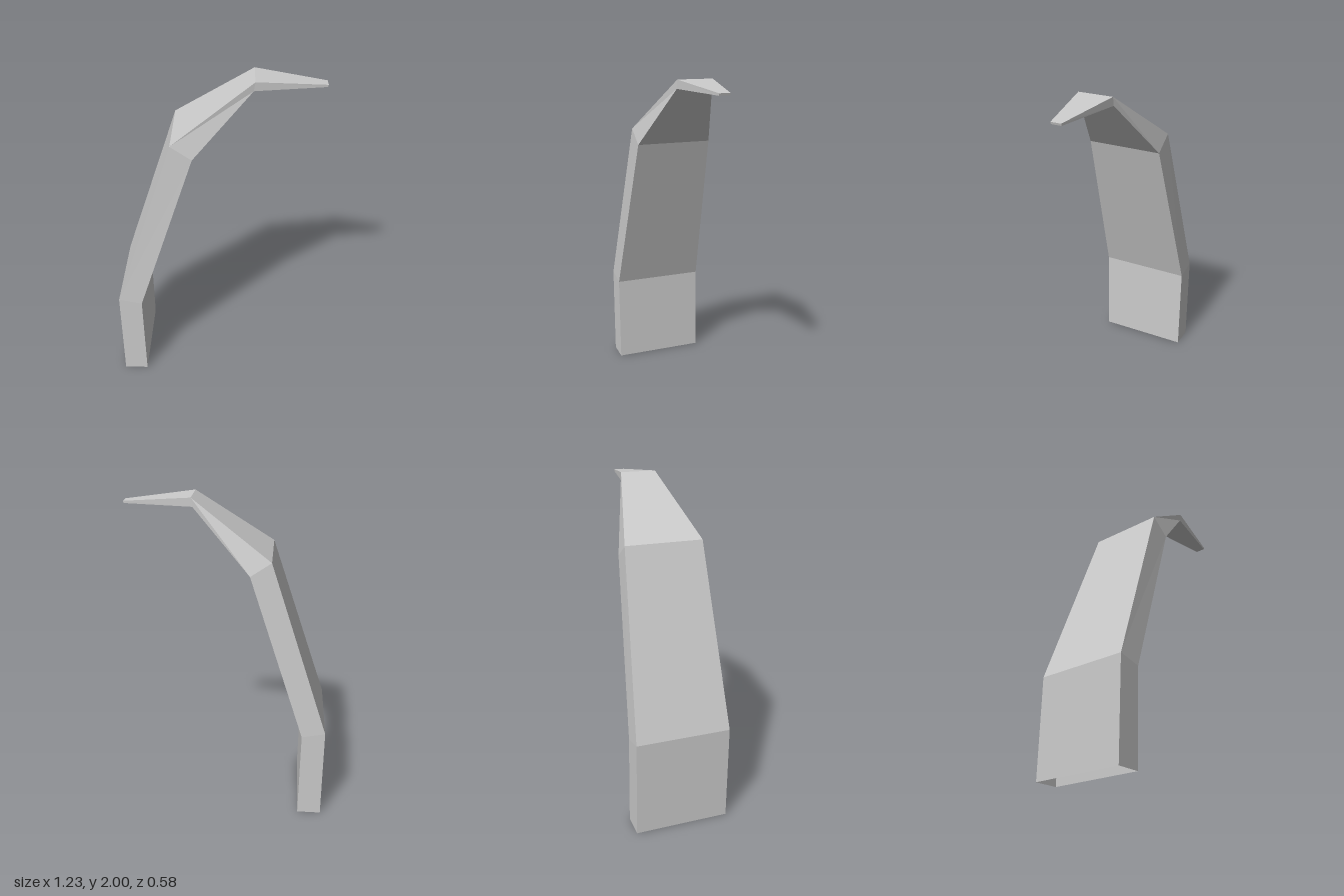
import * as THREE from 'three';

// Cross-sections from base to tip: outer [x, y], inner [x, y], half width
const SECTIONS = [
  { outer: [-0.617, 0], inner: [-0.47, 0], half: 0.29 },
  { outer: [-0.617, 0.6], inner: [-0.474, 0.57], half: 0.29 },
  { outer: [-0.26, 1.67], inner: [-0.137, 1.585], half: 0.235 },
  { outer: [0.21, 2.0], inner: [0.202, 1.948], half: 0.108 },
  { outer: [0.617, 1.957], inner: [0.613, 1.944], half: 0.032 },
];

// Four corners of a section, in order around the blade
function ring({ outer, inner, half }) {
  return [
    [...outer, half], [...inner, half],
    [...inner, -half], [...outer, -half],
  ];
}

function createClawGeometry() {
  const positions = [];
  const quad = (a, b, c, d) => positions.push(...a, ...b, ...c, ...a, ...c, ...d);
  const rings = SECTIONS.map(ring);

  // Walls between neighbouring sections
  for (let i = 0; i < rings.length - 1; i++) {
    const low = rings[i], high = rings[i + 1];
    for (let j = 0; j < 4; j++) {
      const k = (j + 1) % 4;
      quad(low[j], low[k], high[k], high[j]);
    }
  }
  // Tip cap; the base stays open
  quad(...rings[rings.length - 1]);

  const geometry = new THREE.BufferGeometry();
  geometry.setAttribute('position', new THREE.Float32BufferAttribute(positions, 3));
  geometry.computeVertexNormals();
  return geometry;
}

export function createModel() {
  const model = new THREE.Group();
  model.name = 'curvedClaw';

  // Hollow tapering shell, seen from inside through the open base
  const material = new THREE.MeshStandardMaterial({
    color: 0xcccccc, flatShading: true, side: THREE.DoubleSide,
  });
  const claw = new THREE.Mesh(createClawGeometry(), material);
  claw.name = 'clawShell';
  model.add(claw);
  return model;
}
